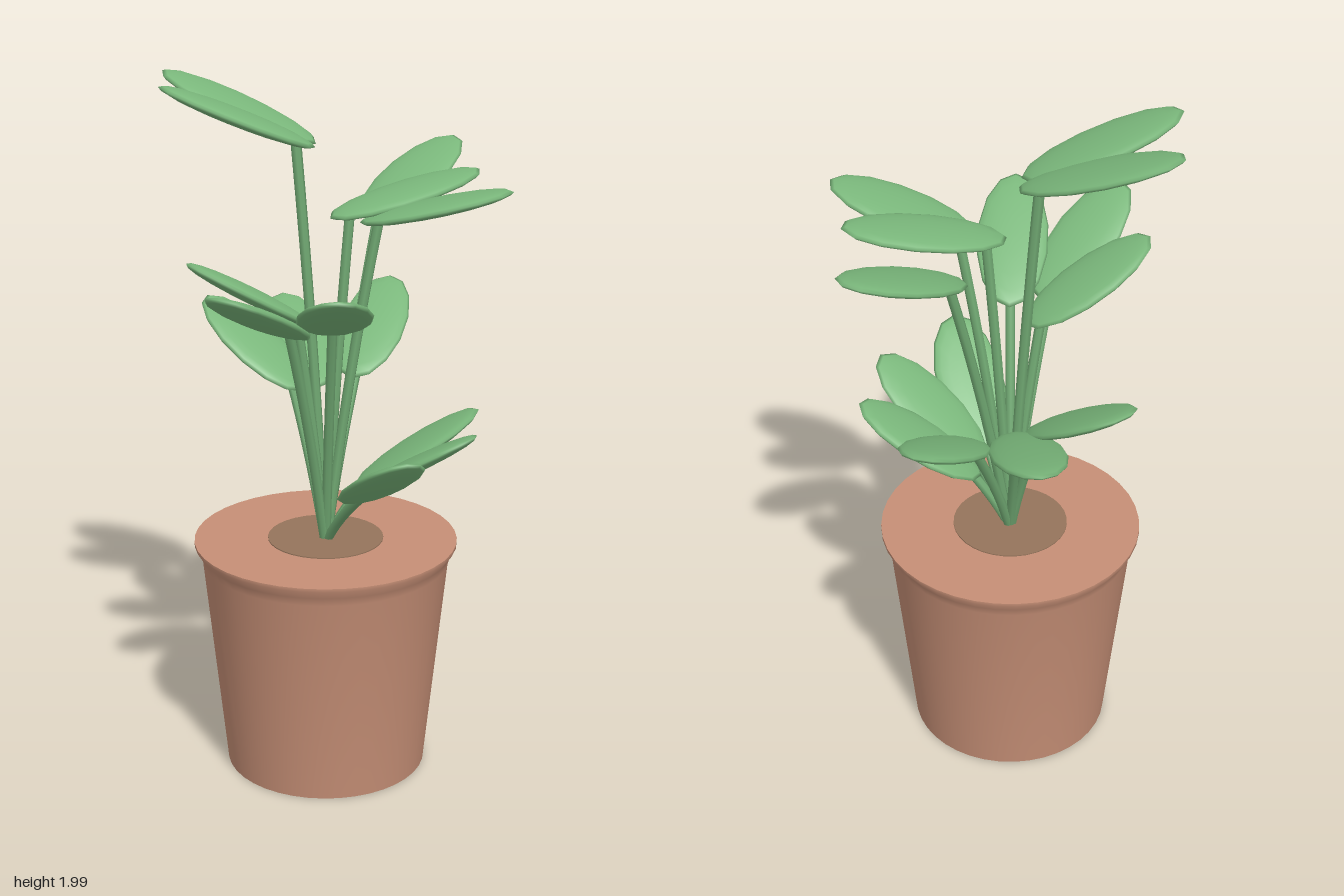
import * as THREE from 'three';
import { toCreasedNormals } from 'three/addons/utils/BufferGeometryUtils.js';

const V = (x, y, z) => new THREE.Vector3(x, y, z);
const CX = -0.024, CZ = 0.012; // pot axis
const POT_TOP = 0.685;

// Each leaf: [base x, y, z, tip x, y, z], in tiers from the top down
const LEAVES = [
  [-0.05, 1.81, 0.01, -0.46, 1.985, 0.09],
  [-0.05, 1.81, -0.04, -0.475, 1.985, -0.18],
  [0.07, 1.61, 0.03, 0.478, 1.715, 0.12],
  [-0.01, 1.62, 0.03, 0.4, 1.72, -0.15],
  [0.09, 1.58, -0.135, 0.34, 1.75, -0.475],
  [-0.09, 1.33, 0.19, -0.285, 1.535, 0.545],
  [-0.005, 1.33, 0.147, 0.022, 1.53, 0.558],
  [-0.06, 1.33, 0.06, -0.385, 1.54, 0.22],
  [-0.09, 1.09, -0.09, -0.375, 1.31, -0.31],
  [-0.05, 1.09, -0.115, -0.165, 1.255, -0.54],
  [0.05, 1.1, -0.18, 0.16, 1.305, -0.56],
  [0.06, 0.845, 0.15, 0.2, 1.08, 0.49],
  [0.06, 0.845, 0.07, 0.385, 1.075, 0.255],
  [0.06, 0.845, 0.01, 0.405, 1.07, 0.005],
];

export function createModel() {
  const group = new THREE.Group();
  const clay = new THREE.MeshStandardMaterial({ name: 'clay', color: 0xc68f76 });
  const soil = new THREE.MeshStandardMaterial({ name: 'soil', color: 0x95745b });
  const leafGreen = new THREE.MeshStandardMaterial({ name: 'leafGreen', color: 0x7ab77b });
  const stemGreen = new THREE.MeshStandardMaterial({ name: 'stemGreen', color: 0x72ab74 });

  const add = (name, geometry, material) => {
    const mesh = new THREE.Mesh(geometry, material);
    mesh.name = name;
    group.add(mesh);
    return mesh;
  };

  // Tapered pot with a flared lip and closed top
  const profile = [
    [0, 0], [0.288, 0], [0.352, 0.625], [0.359, 0.65], [0.375, 0.675], [0.375, POT_TOP], [0, POT_TOP],
  ].map(([r, y]) => new THREE.Vector2(r, y));
  add('pot', toCreasedNormals(new THREE.LatheGeometry(profile, 40), 0.6), clay).position.set(CX, 0, CZ);

  // Soil patch around the stems
  const patch = add('soilPatch', new THREE.CylinderGeometry(0.165, 0.165, 0.004, 32), soil);
  patch.position.set(CX, POT_TOP + 0.001, CZ);

  // Leaf: a flattened low-sided ellipsoid, long axis on x
  const leafGeometry = new THREE.SphereGeometry(1, 14, 10);

  LEAVES.forEach((p) => {
    const base = V(p[0], p[1], p[2]);
    const tip = V(p[3], p[4], p[5]);
    const along = tip.clone().sub(base);
    const length = along.length();
    along.normalize();
    const across = along.clone().cross(V(0, 1, 0)).normalize();
    const normal = across.clone().cross(along);

    const leaf = add('leaf', leafGeometry, leafGreen);
    leaf.quaternion.setFromRotationMatrix(new THREE.Matrix4().makeBasis(along, normal, across));
    leaf.position.copy(base).lerp(tip, 0.5);
    leaf.scale.set(length / 2, 0.022, 0.102);

    // Stem: bends outward from the soil and ends just inside the leaf
    const end = base.clone().lerp(tip, 0.13);
    const root = V(CX + 0.03 * (end.x - CX), POT_TOP - 0.01, CZ + 0.03 * (end.z - CZ));
    const bend = root.clone().lerp(end, 0.37);
    bend.y = (root.y + end.y) / 2;
    const curve = new THREE.QuadraticBezierCurve3(root, bend, end);
    add('stem', new THREE.TubeGeometry(curve, 8, 0.014, 7), stemGreen);
  });

  return group;
}
